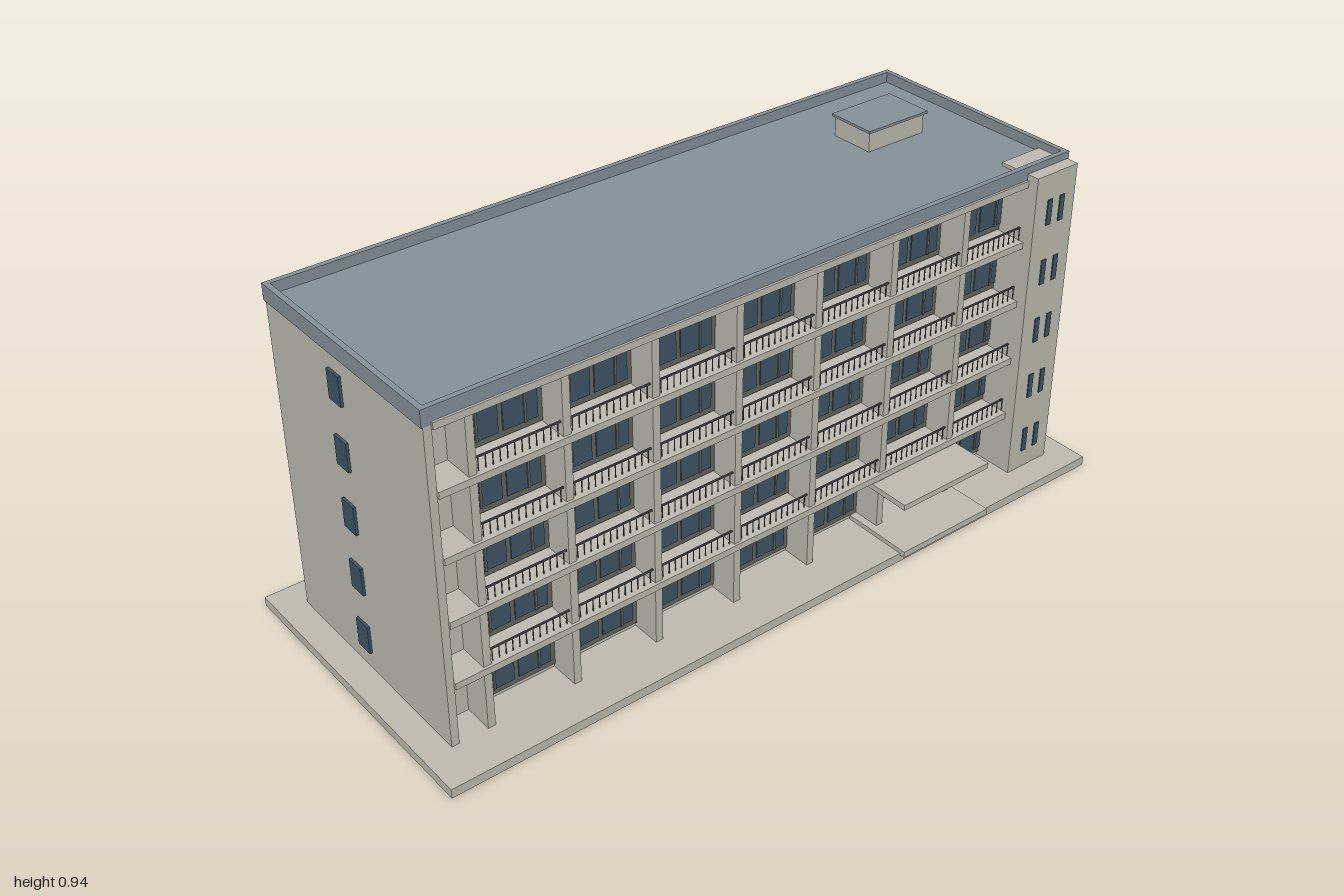
import * as THREE from 'three';
import { mergeGeometries } from 'three/addons/utils/BufferGeometryUtils.js';

const mat = (name, color) => {
  const m = new THREE.MeshStandardMaterial({ color });
  m.name = name;
  return m;
};

// Box given by its minimum and maximum on each axis
const span = (x0, x1, y0, y1, z0, z1) =>
  new THREE.BoxGeometry(x1 - x0, y1 - y0, z1 - z0)
    .translate((x0 + x1) / 2, (y0 + y1) / 2, (z0 + z1) / 2);

export function createModel() {
  const group = new THREE.Group();
  const concrete = mat('concrete', 0xbfbdb2);
  const roofing = mat('roofing', 0x87929a);
  const glass = mat('glass', 0x3f5666);
  const frame = mat('window frame', 0x666660);
  const metal = mat('railing metal', 0x4c5052);
  const green = mat('hedge green', 0x5f8068);

  const add = (name, material, ...boxes) => {
    const mesh = new THREE.Mesh(mergeGeometries(boxes), material);
    mesh.name = name;
    group.add(mesh);
  };

  const FLOORS = 5, STOREY = 0.168, GROUND = 0.025;
  const BAYS = 7, BAY = 0.235, X0 = -BAYS * BAY / 2;
  const FRONT = 0.3, BACK = -0.345, DEPTH = 0.08;

  // Ground plate, hedge and main volume
  add('groundPlate', concrete, span(-1, 1, 0, GROUND, -0.425, 0.41));
  add('hedge', green, span(-0.88, 0.88, GROUND, 0.032, -0.415, -0.385));
  add('core', concrete, span(-0.91, 0.91, GROUND, 0.866, BACK + DEPTH, FRONT - DEPTH));
  add('endWalls', concrete,
    span(-0.928, -0.908, GROUND, 0.866, BACK, FRONT),
    span(0.908, 0.928, GROUND, 0.866, BACK, FRONT));

  // Balcony slabs and dividing fins
  const slabs = [], fins = [];
  for (let i = 1; i <= FLOORS; i++) {
    const y = 0.024 + STOREY * i;
    slabs.push(span(-0.909, 0.909, y - 0.009, y + 0.009, BACK - 0.007, FRONT + 0.007));
  }
  for (let b = 0; b <= BAYS; b++) {
    const x = X0 + b * BAY;
    fins.push(span(x - 0.01, x + 0.01, GROUND, 0.86, FRONT - DEPTH, FRONT));
    fins.push(span(x - 0.01, x + 0.01, GROUND, 0.86, BACK, BACK + DEPTH));
  }
  add('balconySlabs', concrete, ...slabs);
  add('balconyFins', concrete, ...fins);

  // Windows and railings, repeated on both long sides
  for (const side of [1, -1]) {
    const wall = side > 0 ? FRONT - DEPTH : BACK + DEPTH;
    const edge = side > 0 ? FRONT : BACK;
    const label = side > 0 ? 'front' : 'back';
    const frames = [], panes = [], rails = [];
    const plate = (x0, x1, y0, y1, d0, d1) => {
      const a = wall + side * d0, b = wall + side * d1;
      return span(x0, x1, y0, y1, Math.min(a, b), Math.max(a, b));
    };
    for (let f = 0; f < FLOORS; f++) {
      const y = 0.033 + STOREY * f;
      for (let b = 0; b < BAYS; b++) {
        const x = X0 + (b + 0.5) * BAY;
        frames.push(plate(x - 0.107, x + 0.107, y + 0.004, y + 0.14, 0, 0.005));
        for (const s of [-1, 1]) {
          const c = x + s * 0.05;
          panes.push(plate(c - 0.044, c + 0.044, y + 0.02, y + 0.131, 0.004, 0.008));
        }
        frames.push(plate(x - 0.064, x - 0.058, y + 0.02, y + 0.131, 0.007, 0.011));
        frames.push(plate(x + 0.058, x + 0.064, y + 0.02, y + 0.131, 0.007, 0.011));
        if (f === 0) continue;
        const z = edge - side * 0.008;
        rails.push(span(x - 0.107, x + 0.107, y + 0.033, y + 0.037, z - 0.002, z + 0.002));
        for (let k = 0; k < 12; k++) {
          const px = x - 0.099 + k * 0.018;
          rails.push(span(px - 0.001, px + 0.001, y, y + 0.035, z - 0.001, z + 0.001));
        }
      }
    }
    add(label + 'WindowFrames', frame, ...frames);
    add(label + 'WindowPanes', glass, ...panes);
    add(label + 'Railings', metal, ...rails);
  }

  // Stair tower with paired slit windows, and the end wall windows
  add('stairTower', concrete, span(0.787, 0.9275, GROUND, 0.889, 0.215, 0.335));
  const slits = [], endWindows = [];
  for (let f = 0; f < FLOORS; f++) {
    const y = 0.077 + STOREY * f;
    for (const x of [0.838, 0.881])
      slits.push(span(x - 0.008, x + 0.008, y, y + 0.07, 0.33, 0.338));
    for (const s of [-1, 1])
      endWindows.push(span(s * 0.93 - 0.005, s * 0.93 + 0.005, y - 0.002, y + 0.074, -0.079, -0.029));
  }
  add('stairSlitWindows', glass, ...slits);
  add('endWindows', glass, ...endWindows);

  // Roof deck and parapet
  const T = 0.014, W = 0.932, zb = BACK - 0.002, zf = FRONT + 0.001;
  add('roofDeck', roofing, span(-0.925, 0.925, 0.865, 0.88, BACK + 0.002, FRONT - 0.002));
  add('parapet', roofing,
    span(-W, W, 0.865, 0.908, zf - T, zf),
    span(-W, W, 0.865, 0.908, zb, zb + T),
    span(-W, -W + T, 0.865, 0.908, zb + T, zf - T),
    span(W - T, W, 0.865, 0.908, zb + T, zf - T));

  // Rooftop plant room
  add('plantRoom', concrete, span(0.584, 0.769, 0.875, 0.933, -0.17, -0.045));
  add('plantRoomCap', roofing, span(0.577, 0.776, 0.933, 0.94, -0.177, -0.038));

  // Entrance canopy and step
  add('entranceCanopy', concrete, span(0.321, 0.614, 0.159, 0.175, 0.225, 0.415));
  add('entranceStep', concrete, span(0.321, 0.614, 0.02, 0.037, 0.225, 0.425));
  return group;
}
